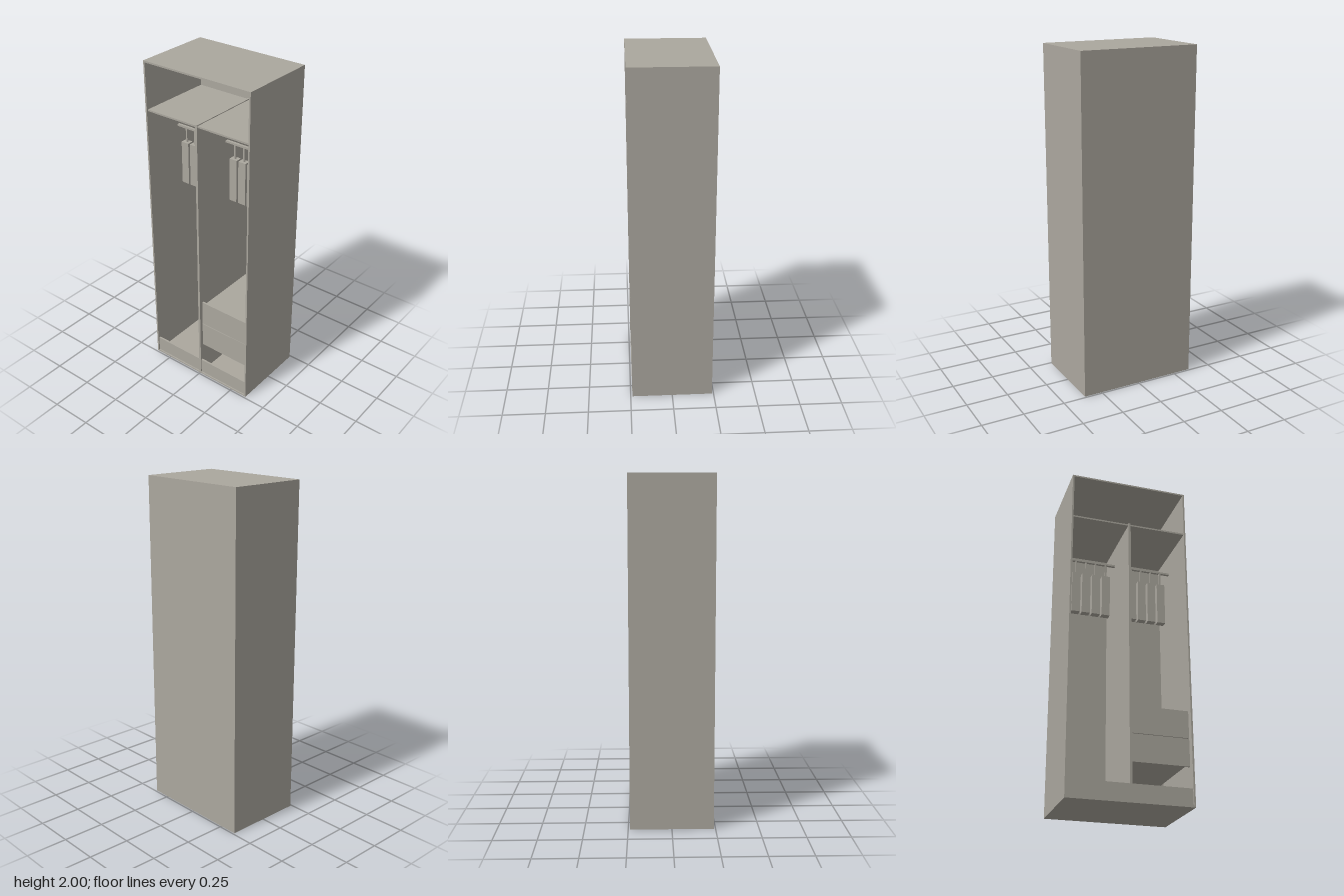
import * as THREE from 'three';

export function createModel() {
  const wardrobe = new THREE.Group();
  wardrobe.name = 'wardrobe';
  const board = new THREE.MeshStandardMaterial({ color: 0xaba79e });
  board.name = 'warm grey board';

  // Box given by its lower and upper bounds on each axis
  function box(name, [x0, x1], [y0, y1], [z0, z1], parent = wardrobe) {
    const mesh = new THREE.Mesh(new THREE.BoxGeometry(x1 - x0, y1 - y0, z1 - z0), board);
    mesh.position.set((x0 + x1) / 2, (y0 + y1) / 2, (z0 + z1) / 2);
    mesh.name = name;
    parent.add(mesh);
    return mesh;
  }

  const W = 0.36, D = 0.24, H = 2, T = 0.01;
  const inner = W - T;

  // Carcass
  box('rightSide', [-W, -inner], [0, H], [-D, D]);
  box('leftSide', [inner, W], [0, H], [-D, D]);
  box('topPanel', [-inner, inner], [H - T, H], [-D, D]);
  box('bottomPanel', [-inner, inner], [0, T], [-D, D]);
  box('backPanel', [-inner, inner], [T, H - T], [-D, -D + T]);
  box('divider', [-0.007, 0.007], [T, 1.72], [-D + T, D - 0.002]);

  // Each bay has a plinth, hat shelf, hanging rail and four garments
  for (const side of [-1, 1]) {
    const bay = new THREE.Group();
    bay.name = side < 0 ? 'rightBay' : 'leftBay';
    wardrobe.add(bay);
    const span = side < 0 ? [-inner, -0.007] : [0.007, inner];
    const middle = side * 0.177;
    box('plinth', span, [T, 0.105], [D - 0.02, D - 0.008], bay);
    box('shelf', span, [1.705, 1.715], [-D + T, D - 0.008], bay);
    box('hangingRail', [middle - 0.155, middle + 0.155], [1.54, 1.552], [-0.008, 0.008], bay);
    for (let i = 0; i < 4; i++) {
      const x = middle + (i - 1.5) * 0.062;
      box('hangerHook', [x - 0.004, x + 0.006], [1.455, 1.543], [-0.005, 0.005], bay);
      box('garment', [x - 0.025, x + 0.025], [1.19, 1.455], [-0.02, 0.02], bay);
    }
  }

  // Two drawers in the left bay, each a front with a narrower body behind
  for (const y of [0.228, 0.39]) {
    const drawer = new THREE.Group();
    drawer.name = 'drawer';
    wardrobe.add(drawer);
    box('drawerFront', [0.012, 0.342], [y, y + 0.159], [0.21, 0.222], drawer);
    box('drawerBody', [0.025, 0.33], [y + 0.012, y + 0.145], [-D + 0.015, 0.21], drawer);
  }

  return wardrobe;
}
